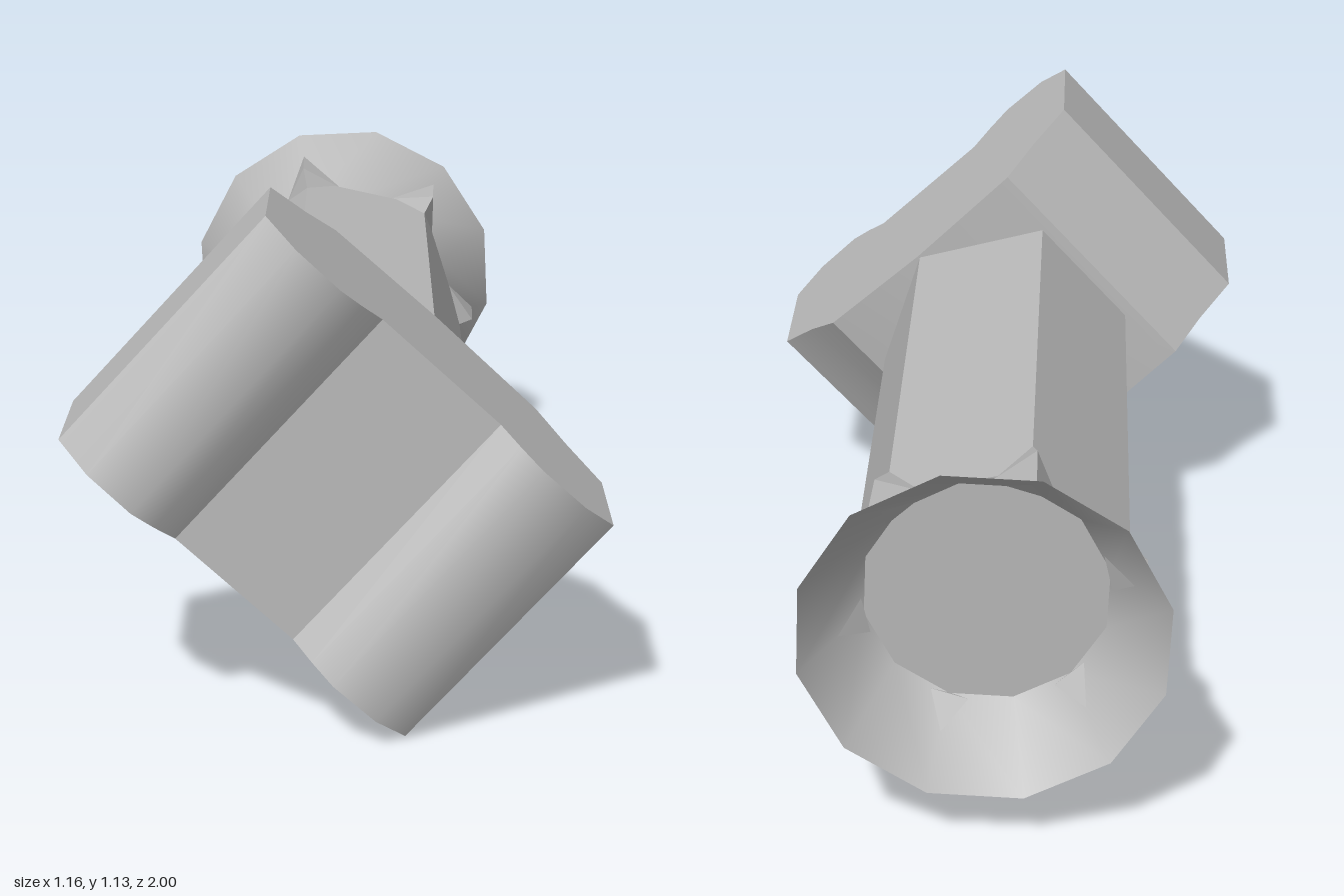
import * as THREE from 'three';
import { toCreasedNormals } from 'three/addons/utils/BufferGeometryUtils.js';
import { ConvexGeometry } from 'three/addons/geometries/ConvexGeometry.js';

const steel = new THREE.MeshStandardMaterial({ color: 0xb8b8b8, side: THREE.DoubleSide });
steel.name = 'steel grey';

function addPart(group, name, geometry) {
  const mesh = new THREE.Mesh(geometry, steel);
  mesh.name = name;
  group.add(mesh);
  return mesh;
}

// Prism or cone along the local z axis, with a corner on local -y
function zCylinder(frontR, backR, zFront, zBack, sides, open) {
  return new THREE.CylinderGeometry(frontR, backR, zFront - zBack, sides, 1, open)
    .rotateX(Math.PI / 2)
    .translate(0, 0, (zFront + zBack) / 2);
}

export function createModel() {
  const model = new THREE.Group();
  model.name = 'flaredBolt';

  // Local frame: x across the head, y through its thickness, z along the shaft
  const body = new THREE.Group();
  body.name = 'bolt';
  const axis = new THREE.Vector3(0.052, 0.021, 1).normalize();
  const thick = new THREE.Vector3(0.675, 0.738, 0);
  thick.addScaledVector(axis, -thick.dot(axis)).normalize();
  const across = new THREE.Vector3().crossVectors(thick, axis);
  body.quaternion.setFromRotationMatrix(new THREE.Matrix4().makeBasis(across, thick, axis));
  body.position.set(-0.045, 0.547, 0);
  model.add(body);

  // Head: mirrored profile with two raised lobes beside a lower centre flat
  const half = [
    [0.3, 0.475], [0.385, 0.555], [0.485, 0.62], [0.485, 0.91],
    [0.4, 0.97], [0.28, 0.977], [0.22, 0.945], [0.165, 0.905],
  ];
  const profile = [[0, 0.445], ...half, ...half.map(([x, y]) => [-x, y]).reverse()];
  const shape = new THREE.Shape(profile.map(([x, y]) => new THREE.Vector2(x, y)));
  const depth = 0.637;
  const headGeo = new THREE.ExtrudeGeometry(shape, { depth, bevelEnabled: false })
    .rotateX(Math.PI / 2)
    .translate(0, depth / 2, 0);
  addPart(body, 'head', toCreasedNormals(headGeo, 0.6));

  // Six-sided shaft
  addPart(body, 'shaft', toCreasedNormals(zCylinder(0.313, 0.313, 0.6, -0.78, 6, false), 0.3));

  // Open flared cup at the back end
  addPart(body, 'flaredCup', toCreasedNormals(zCylinder(0.27, 0.4, -0.78, -0.98, 12, true), 0.7));

  // Pointed ribs where the shaft corners meet the cup
  const ribGeo = new ConvexGeometry([
    [0, 0.311, -0.67], [0, 0.35, -0.76], [0, 0.355, -0.9],
    [-0.075, 0.265, -0.79], [0.075, 0.265, -0.79],
  ].map((p) => new THREE.Vector3(...p)));
  for (let i = 0; i < 6; i++) {
    addPart(body, 'cornerRib', ribGeo).rotation.z = (i * Math.PI) / 3;
  }

  return model;
}
